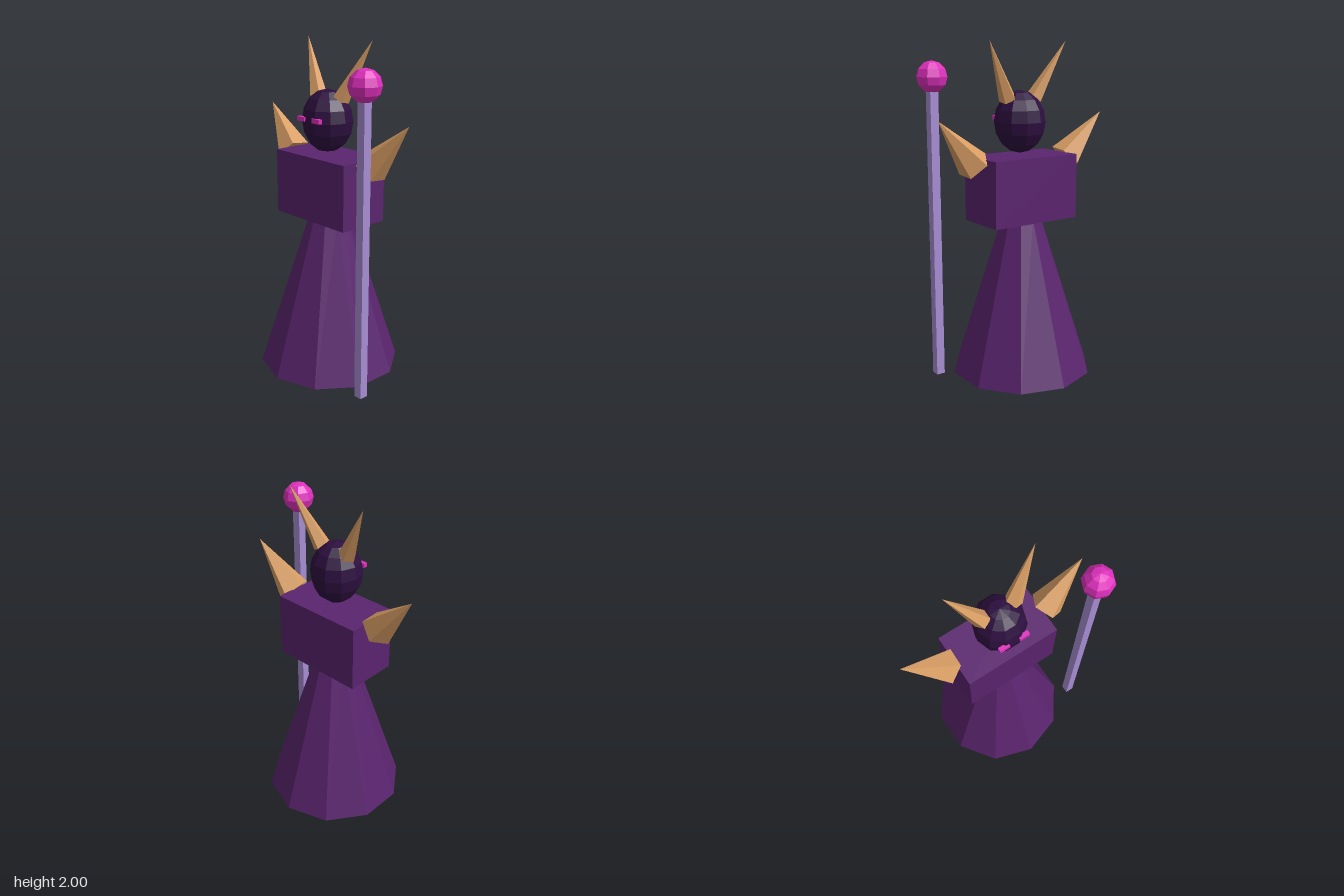
import * as THREE from 'three';

const mat = (name, color) => {
  const m = new THREE.MeshStandardMaterial({ color, flatShading: true });
  m.name = name;
  return m;
};

export function createModel() {
  const robeMat = mat('robe purple', 0x5a246e);
  const headMat = mat('shadow purple', 0x2d0f3f);
  const hornMat = mat('horn tan', 0xd99e64);
  const glowMat = mat('glowing magenta', 0xe030be);
  const staffMat = mat('staff lilac', 0xa88ed4);

  const model = new THREE.Group();
  model.name = 'hornedSorcerer';
  const add = (name, geometry, material, x, y, z) => {
    const mesh = new THREE.Mesh(geometry, material);
    mesh.name = name;
    mesh.position.set(x, y, z);
    model.add(mesh);
    return mesh;
  };

  // Five-sided spike from the centre of its base to its tip
  const up = new THREE.Vector3(0, 1, 0);
  const spike = (name, radius, base, tip) => {
    const axis = tip.clone().sub(base);
    const length = axis.length();
    const geometry = new THREE.ConeGeometry(radius, length, 5, 1, false, -Math.PI / 2);
    geometry.translate(0, length / 2, 0);
    add(name, geometry, hornMat, base.x, base.y, base.z)
      .quaternion.setFromUnitVectors(up, axis.normalize());
  };

  // Body
  add('robe', new THREE.CylinderGeometry(0.12, 0.43, 0.96, 10), robeMat, 0, 0.48, 0);
  add('torso', new THREE.BoxGeometry(0.586, 0.388, 0.326), robeMat, 0, 1.139, 0);

  // Head
  const head = add('head', new THREE.SphereGeometry(0.153, 10, 8), headMat, 0, 1.53, 0.015);
  head.scale.y = 1.21;

  // Eyes, head horns and shoulder spikes on both sides
  for (const [side, s] of [['left', 1], ['right', -1]]) {
    add(side + 'Eye', new THREE.BoxGeometry(0.062, 0.026, 0.026), glowMat, s * 0.063, 1.549, 0.155);
    spike(side + 'Horn', 0.0525,
      new THREE.Vector3(s * 0.096, 1.664, 0), new THREE.Vector3(s * 0.27, 2.0, -0.075));
    spike(side + 'ShoulderSpike', 0.101,
      new THREE.Vector3(s * 0.335, 1.295, -0.005), new THREE.Vector3(s * 0.585, 1.567, -0.04));
  }

  // Staff with its orb
  add('staff', new THREE.BoxGeometry(0.052, 1.76, 0.052), staffMat, 0.484, 0.88, 0.197);
  add('staffOrb', new THREE.SphereGeometry(0.092, 8, 6), glowMat, 0.484, 1.795, 0.196);

  return model;
}
